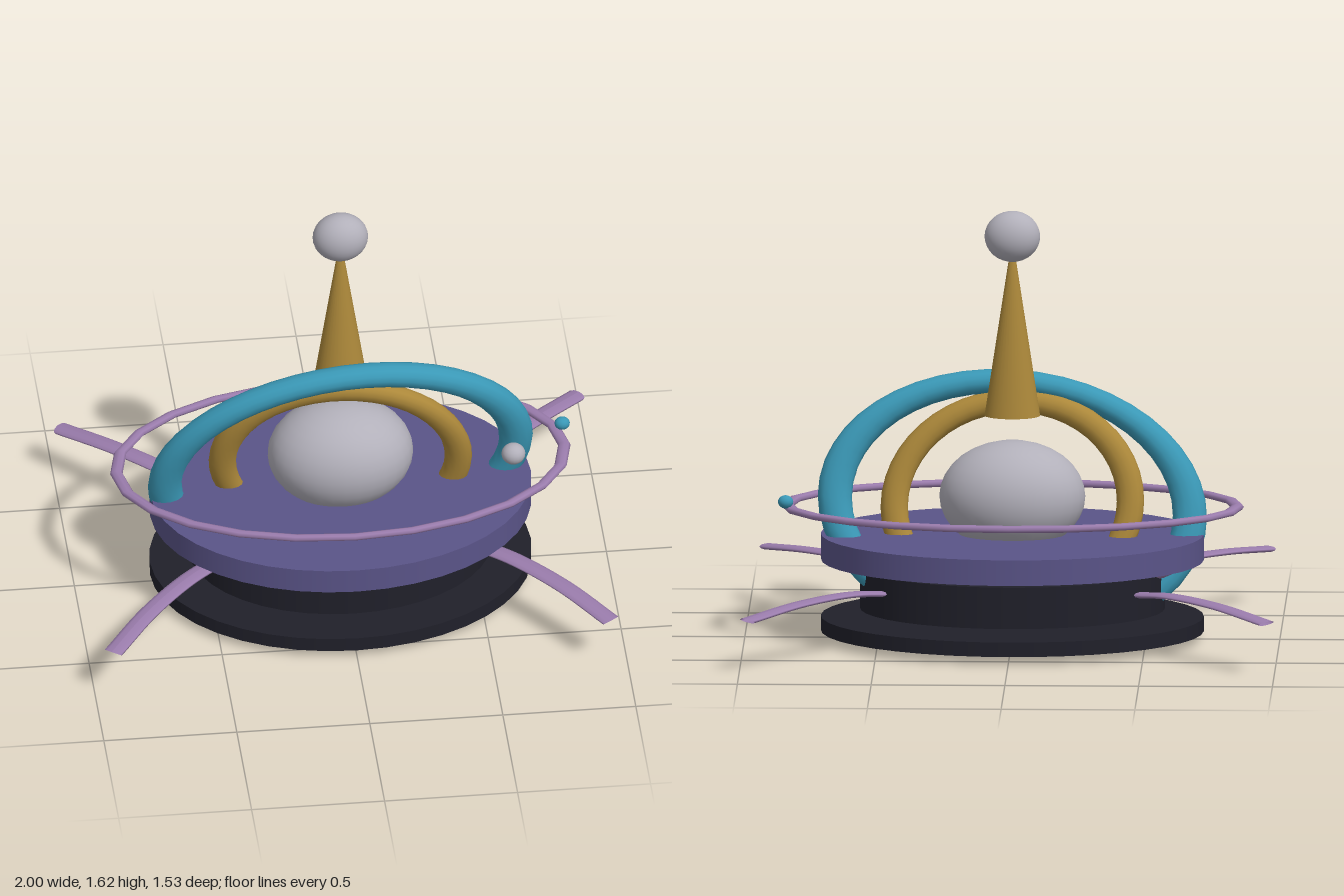
import * as THREE from 'three';

export function createModel() {
  const model = new THREE.Group();
  const mat = (name, color, side = THREE.FrontSide) => {
    const m = new THREE.MeshStandardMaterial({ color, side });
    m.name = name;
    return m;
  };
  const violet = mat('violet', 0x5a5488);
  const black = mat('black', 0x20202a);
  const silver = mat('silver', 0xb2b0ba);
  const gold = mat('gold', 0xac883a);
  const teal = mat('teal', 0x3a98b6);
  const mauve = mat('mauve', 0x9a7cac, THREE.DoubleSide);

  const add = (name, geometry, material) => {
    const mesh = new THREE.Mesh(geometry, material);
    mesh.name = name;
    model.add(mesh);
    return mesh;
  };

  // Oval disc between two heights
  const disc = (name, rx, rz, y0, y1, material) => {
    const g = new THREE.CylinderGeometry(1, 1, y1 - y0, 40);
    g.scale(rx, 1, rz).translate(0, (y0 + y1) / 2, 0);
    add(name, g, material);
  };

  const ball = (name, radii, pos, material, segments = 32) => {
    const g = new THREE.SphereGeometry(1, segments, segments / 2);
    g.scale(...radii).translate(...pos);
    add(name, g, material);
  };

  // Tilted oval ring: a torus skewed onto two half-axis vectors
  const hoop = (name, R, r, y, u, v, material) => {
    const g = new THREE.TorusGeometry(R, r, 14, 48);
    const m = new THREE.Matrix4().makeBasis(
      new THREE.Vector3(...u).divideScalar(R),
      new THREE.Vector3(...v).divideScalar(R),
      new THREE.Vector3(0, -0.2, 0.97)
    );
    m.setPosition(0, y, 0);
    g.applyMatrix4(m);
    add(name, g, material);
  };

  // Flat oval ring
  const flatRing = (name, rx, rz, y, tube, sides, segments) => {
    const g = new THREE.TorusGeometry(1, tube / rz, sides, segments);
    g.rotateX(Math.PI / 2).scale(rx, rz, rz).translate(0, y, 0);
    add(name, g, mauve);
  };

  // Stacked base
  disc('basePlate', 0.716, 0.57, 0.045, 0.1, black);
  disc('drum', 0.57, 0.452, 0.13, 0.287, black);
  disc('deck', 0.716, 0.57, 0.315, 0.412, violet);
  flatRing('collarRing', 0.56, 0.255, 0.29, 0.033, 12, 40);

  // Core and spire
  ball('core', [0.273, 0.21, 0.2155], [0, 0.555, 0], silver);
  const cone = new THREE.ConeGeometry(1, 0.68, 32);
  cone.scale(0.104, 1, 0.083).translate(0, 1.2, 0);
  add('spire', cone, gold);
  ball('spireBall', [0.104, 0.096, 0.082], [0, 1.54, 0], silver);

  // Tilted hoops
  hoop('outerHoop', 0.52, 0.05, 0.515, [0.663, 0.04, -0.025], [0, 0.455, 0.11], teal);
  hoop('innerHoop', 0.345, 0.04, 0.525, [0.442, -0.015, 0.015], [0, 0.375, 0.09], gold);

  // Orbit ring and its small satellites
  flatRing('orbitRing', 0.842, 0.5, 0.517, 0.014, 8, 24);
  ball('tealSatellite', [0.029, 0.025, 0.026], [0.845, 0.546, -0.1], teal, 16);
  ball('silverSatellite', [0.045, 0.041, 0.043], [0.632, 0.614, 0.168], silver, 20);

  // Flat curved arms, mirrored left and right
  const squash = 0.28;
  const arms = {
    frontArm: [[0.49, 0.243, 0.22], [0.62, 0.256, 0.35], [0.78, 0.25, 0.53], [0.935, 0.226, 0.735]],
    backArm: [[0.49, 0.225, -0.25], [0.6, 0.242, -0.37], [0.78, 0.237, -0.55], [0.97, 0.208, -0.74]]
  };
  for (const [name, points] of Object.entries(arms)) {
    for (const side of [1, -1]) {
      const curve = new THREE.CatmullRomCurve3(
        points.map(([x, y, z]) => new THREE.Vector3(side * x, y / squash, z))
      );
      const g = new THREE.TubeGeometry(curve, 16, 0.037, 10);
      g.scale(1, squash, 1);
      g.computeVertexNormals();
      add(name + (side > 0 ? 'Left' : 'Right'), g, mauve);
    }
  }

  return model;
}
